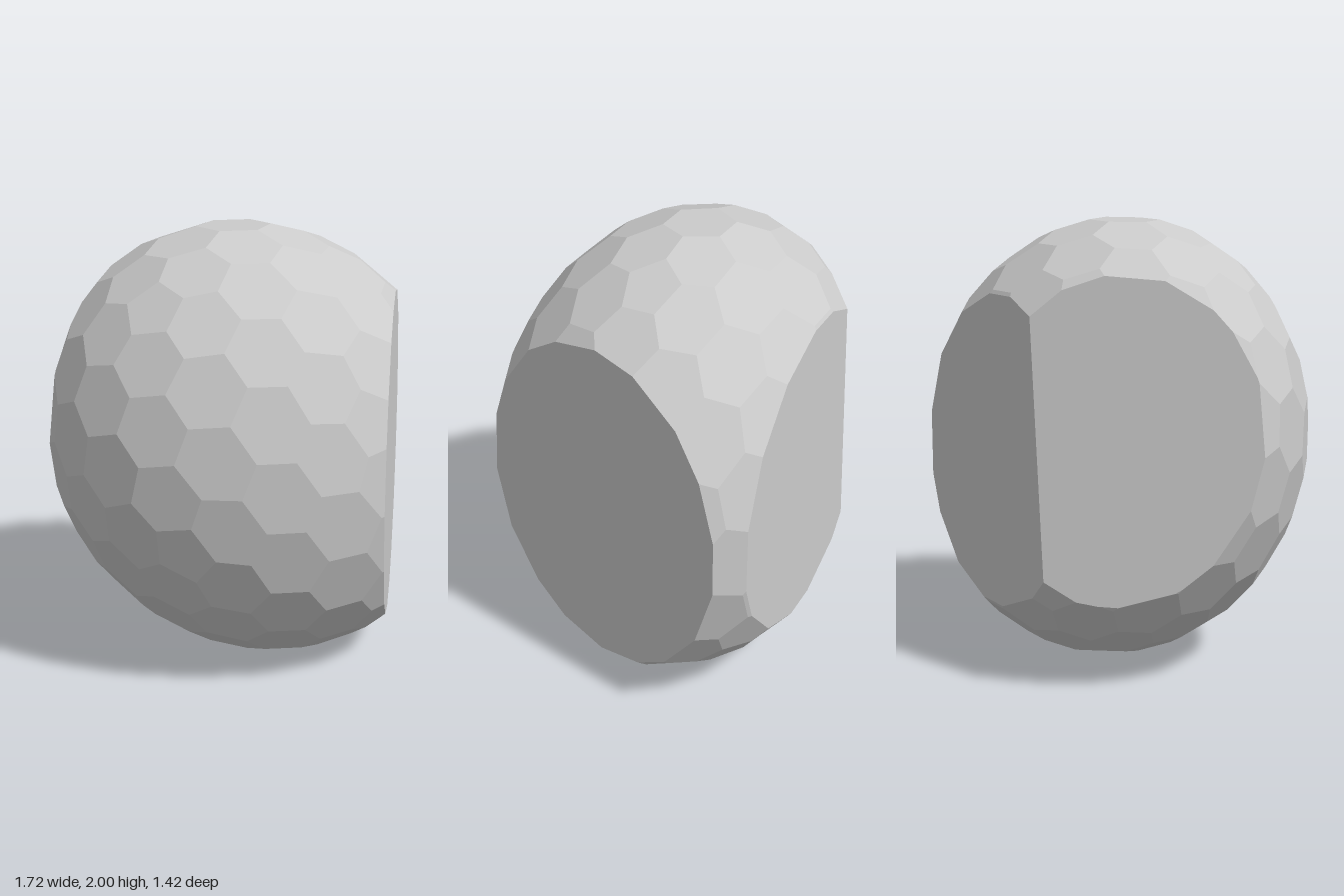
import * as THREE from 'three';

const V = (x, y, z) => new THREE.Vector3(x, y, z);

// Order points counter-clockwise around an outward normal
function sortRing(points, normal) {
  const n = normal.clone().normalize();
  const c = points.reduce((s, p) => s.add(p), V(0, 0, 0)).divideScalar(points.length);
  const e1 = points[0].clone().sub(c).projectOnPlane(n).normalize();
  const e2 = n.clone().cross(e1);
  const angle = p => { const d = p.clone().sub(c); return Math.atan2(d.dot(e2), d.dot(e1)); };
  return points.slice().sort((a, b) => angle(a) - angle(b));
}

// Triangles of a twice-subdivided icosahedron with its poles on the x axis
function sphereTriangles() {
  const pts = [V(1, 0, 0), V(-1, 0, 0)];
  const h = 1 / Math.sqrt(5), r = 2 * h;
  for (let i = 0; i < 10; i++) {
    const a = i * Math.PI / 5;
    pts.push(V(i % 2 ? -h : h, r * Math.cos(a), r * Math.sin(a)));
  }
  let tris = [];
  const near = (a, b) => a.distanceTo(b) < 1.1;
  for (let i = 0; i < 12; i++) for (let j = i + 1; j < 12; j++) for (let k = j + 1; k < 12; k++) {
    const [a, b, c] = [pts[i], pts[j], pts[k]];
    if (near(a, b) && near(b, c) && near(a, c)) tris.push([a, b, c]);
  }
  const mid = (a, b) => a.clone().add(b).normalize();
  for (let s = 0; s < 2; s++) {
    tris = tris.flatMap(([a, b, c]) => {
      const ab = mid(a, b), bc = mid(b, c), ca = mid(c, a);
      return [[a, ab, ca], [ab, b, bc], [ca, bc, c], [ab, bc, ca]];
    });
  }
  return tris;
}

// Hexagon and pentagon facets: one around each vertex of the subdivided sphere
function facetPolygons() {
  const cells = new Map();
  for (const t of sphereTriangles()) {
    const centre = V(0, 0, 0).add(t[0]).add(t[1]).add(t[2]).normalize();
    for (const v of t) {
      const key = [v.x, v.y, v.z].map(n => Math.round(n * 1000)).join();
      if (!cells.has(key)) cells.set(key, { v, ring: [] });
      cells.get(key).ring.push(centre);
    }
  }
  const polys = [...cells.values()].map(c => sortRing(c.ring, c.v));
  const top = Math.max(...polys.flat().map(p => p.y));
  // Stretch and lean the ball, then move it into place
  return polys.map(poly => poly.map(p => {
    const y = p.y / top;
    return V(0.09 + 0.968 * p.x - 0.095 * y, 1 + y, -0.108 + 0.835 * p.z);
  }));
}

// Slice off everything in front of the plane and close the hole with a flat face
function cut(faces, plane, name) {
  const rim = [], out = [];
  for (const f of faces) {
    const poly = [];
    f.poly.forEach((p, i) => {
      const q = f.poly[(i + 1) % f.poly.length];
      const dp = plane.distanceToPoint(p), dq = plane.distanceToPoint(q);
      if (dp <= 0) poly.push(p);
      if ((dp <= 0) !== (dq <= 0)) {
        const x = p.clone().lerp(q, dp / (dp - dq));
        poly.push(x);
        if (!rim.some(o => o.distanceTo(x) < 1e-4)) rim.push(x);
      }
    });
    if (poly.length > 2) out.push({ name: f.name, poly });
  }
  out.push({ name, poly: sortRing(rim, plane.normal) });
  return out;
}

// Fan each polygon, with a single flat normal per facet
function polygonGeometry(polys) {
  const pos = [], nor = [];
  for (const poly of polys) {
    const n = V(0, 0, 0);
    poly.forEach((p, i) => n.add(p.clone().sub(poly[0]).cross(poly[(i + 1) % poly.length].clone().sub(poly[0]))));
    n.normalize();
    for (let i = 1; i < poly.length - 1; i++) {
      for (const p of [poly[0], poly[i], poly[i + 1]]) {
        pos.push(p.x, p.y, p.z);
        nor.push(n.x, n.y, n.z);
      }
    }
  }
  const g = new THREE.BufferGeometry();
  g.setAttribute('position', new THREE.Float32BufferAttribute(pos, 3));
  g.setAttribute('normal', new THREE.Float32BufferAttribute(nor, 3));
  return g;
}

export function createModel() {
  const group = new THREE.Group();
  group.name = 'slicedFacetedBall';
  const material = new THREE.MeshStandardMaterial({ color: 0xcccccc });
  const planeAt = (normal, point) =>
    new THREE.Plane().setFromNormalAndCoplanarPoint(normal.normalize(), point);

  let faces = facetPolygons().map(poly => ({ name: 'facetedShell', poly }));
  // Three flat slices: left side, back, and right rear
  faces = cut(faces, planeAt(V(1, 0.005, 0.254), V(0.703, 1, 0)), 'leftSliceFace');
  faces = cut(faces, planeAt(V(0, 0, -1), V(0, 1, -0.708)), 'backSliceFace');
  faces = cut(faces, planeAt(V(-1, 0.08, -0.784), V(-0.28, 1, -0.71)), 'rightRearSliceFace');

  for (const name of new Set(faces.map(f => f.name))) {
    const polys = faces.filter(f => f.name === name).map(f => f.poly);
    const mesh = new THREE.Mesh(polygonGeometry(polys), material);
    mesh.name = name;
    group.add(mesh);
  }
  return group;
}
